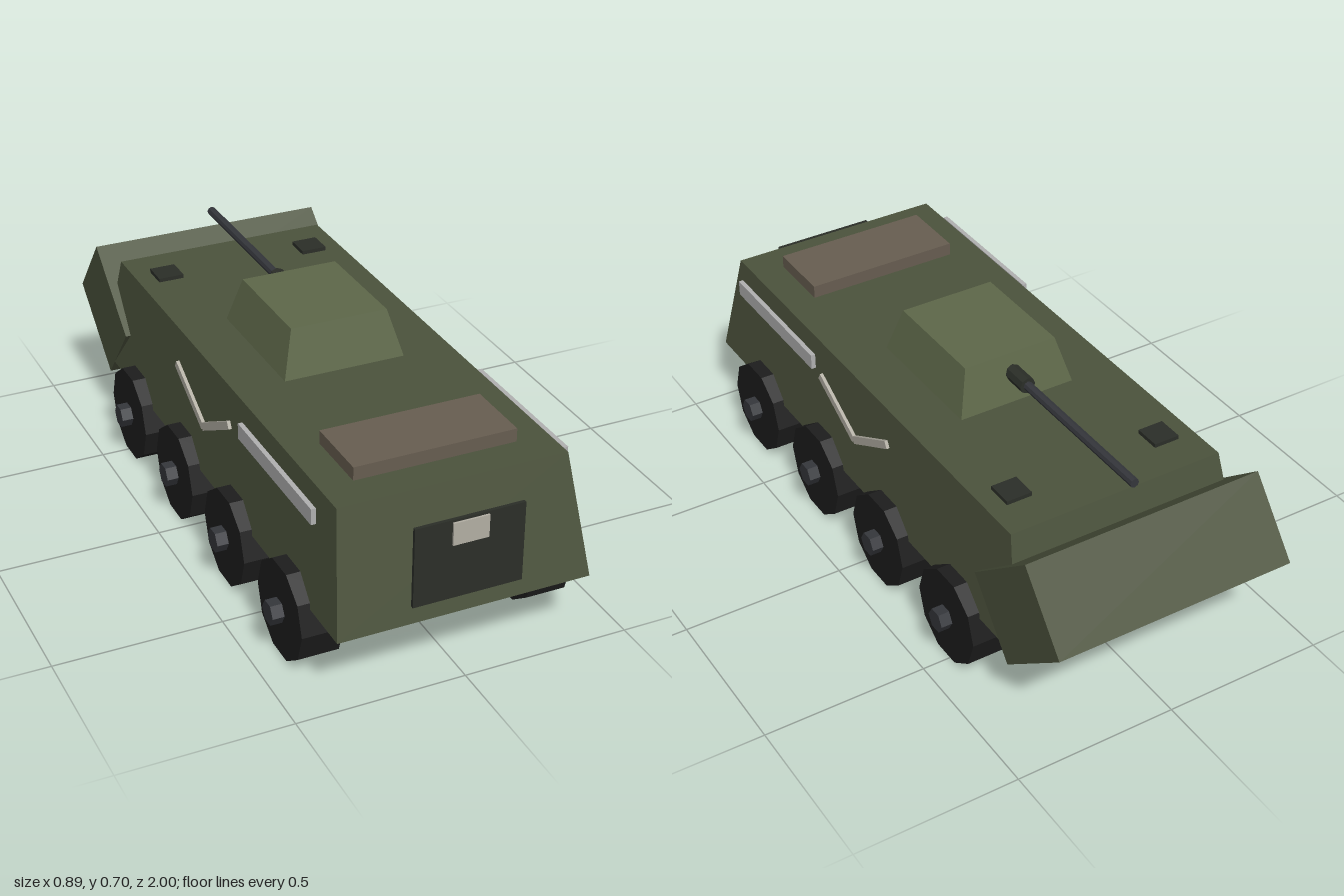
import * as THREE from 'three';

const mat = (color) => {
  const m = new THREE.MeshStandardMaterial({ flatShading: true });
  m.color.set(color);
  return m;
};

export function createModel() {
  const model = new THREE.Group();
  model.name = 'armouredVehicle';

  const hullGreen = mat(0x4b523c);
  const turretGreen = mat(0x5d6749);
  const brown = mat(0x675d50);
  const dark = mat(0x2b2e28);
  const rubber = mat(0x1d1d1d);
  const steel = mat(0x34363b);
  const pale = mat(0xb2aea3);
  const grey = mat(0xb0b0b0);

  function add(name, geometry, material, x, y, z) {
    const mesh = new THREE.Mesh(geometry, material);
    mesh.name = name;
    mesh.position.set(x, y, z);
    model.add(mesh);
    return mesh;
  }
  const box = (name, material, w, h, d, x, y, z) =>
    add(name, new THREE.BoxGeometry(w, h, d), material, x, y, z);

  // Box whose upper corners are drawn in towards the middle
  function taperedBox(w, h, d, topW, topD) {
    const g = new THREE.BoxGeometry(w, h, d);
    const p = g.attributes.position;
    for (let i = 0; i < p.count; i++) {
      if (p.getY(i) > 0) {
        p.setX(i, Math.sign(p.getX(i)) * topW / 2);
        p.setZ(i, Math.sign(p.getZ(i)) * topD / 2);
      }
    }
    g.computeVertexNormals();
    return g;
  }

  // Body
  add('hull', taperedBox(0.755, 0.35, 1.78, 0.68, 1.6), hullGreen, 0, 0.386, 0.1);
  const wedge = box('rearWedge', hullGreen, 0.755, 0.267, 0.323, 0, 0.36, -0.788);
  wedge.rotation.x = 0.69;

  // Turret and gun
  add('turret', taperedBox(0.375, 0.14, 0.43, 0.3, 0.35), turretGreen, 0, 0.631, 0.018);
  const mantlet = add('gunMantlet', new THREE.CylinderGeometry(0.025, 0.025, 0.11, 8), dark, 0, 0.643, -0.195);
  const barrel = add('gunBarrel', new THREE.CylinderGeometry(0.014, 0.014, 0.62, 8), steel, 0, 0.643, -0.465);
  mantlet.rotation.x = barrel.rotation.x = Math.PI / 2;

  // Deck and front fittings
  box('enginePanel', brown, 0.485, 0.05, 0.21, 0, 0.576, 0.69);
  box('frontDoor', dark, 0.325, 0.243, 0.01, 0, 0.384, 0.989);
  box('doorPlate', pale, 0.106, 0.068, 0.01, 0, 0.464, 0.995);

  for (const side of [1, -1]) {
    box('hatch', dark, 0.08, 0.02, 0.08, side * 0.243, 0.563, -0.55);

    // Side markings
    box('sideStrip', grey, 0.014, 0.048, 0.485, side * 0.374, 0.508, 0.592);
    for (const end of [1, -1]) {
      const bar = box('chevronBar', pale, 0.01, 0.024, 0.228, side * 0.382, 0.441, 0.09 + end * 0.1);
      bar.rotation.x = -end * 0.5;
    }

    // Wheels with axle hubs
    for (let i = 0; i < 4; i++) {
      const z = 0.697 - i * 0.392;
      const wheel = add('wheel', new THREE.CylinderGeometry(0.148, 0.148, 0.122, 10), rubber, side * 0.351, 0.141, z);
      const hub = add('wheelHub', new THREE.CylinderGeometry(0.036, 0.036, 0.192, 6), steel, side * 0.351, 0.141, z);
      wheel.rotation.z = hub.rotation.z = Math.PI / 2;
    }
  }
  return model;
}
